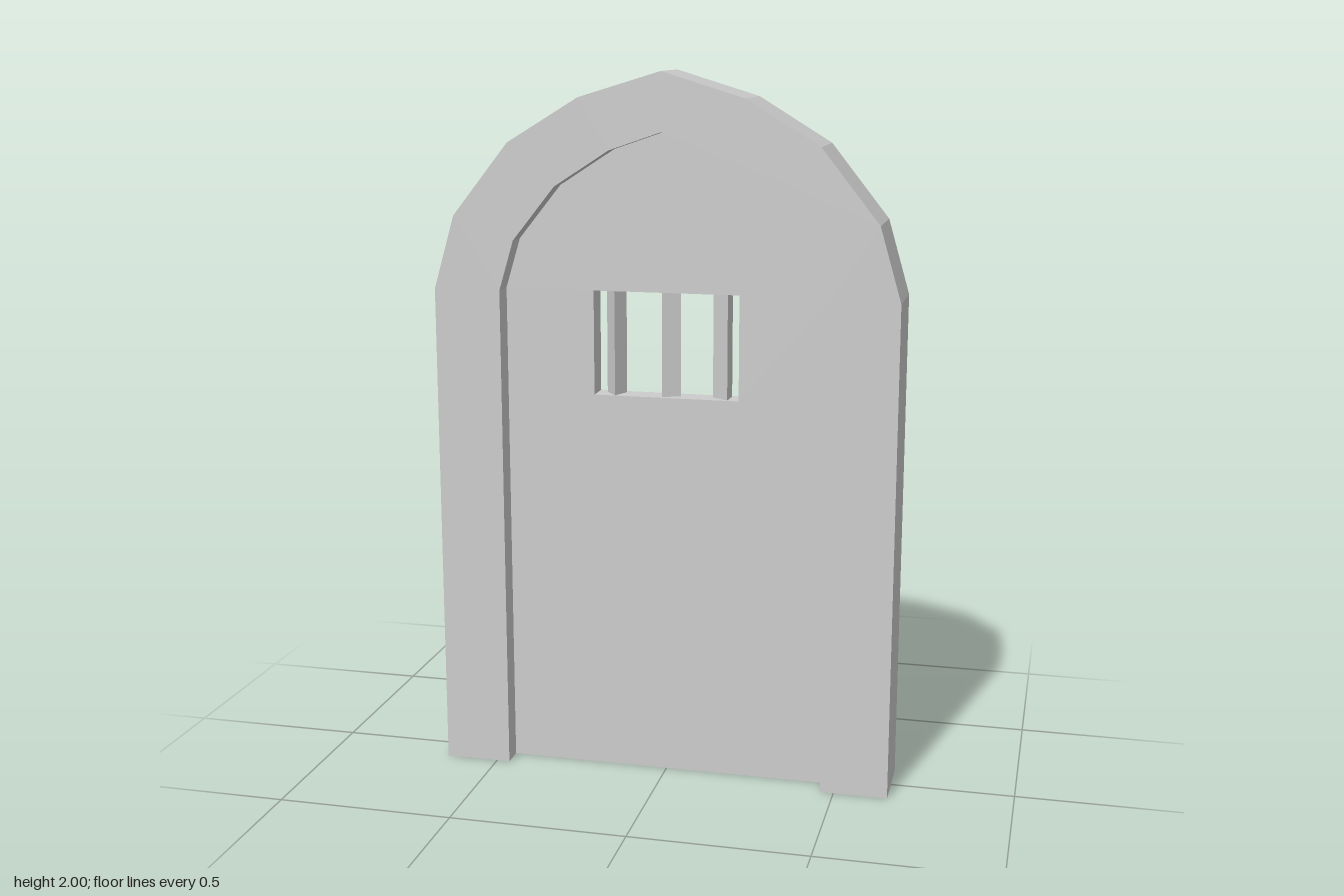
import * as THREE from 'three';

const stone = new THREE.MeshStandardMaterial({ color: 0xcccccc, side: THREE.DoubleSide });
stone.name = 'plain grey';

const FRAME_DEPTH = 0.195;
const DOOR_DEPTH = 0.07;
const WINDOW = { left: -0.208, right: 0.205, bottom: 1.105, top: 1.4 };

// Right half of each arch, from the floor to the peak
const OUTER = [[0.652, 0], [0.652, 1.4], [0.592, 1.605], [0.432, 1.807], [0.23, 1.93], [0, 2]];
const INNER = [[0.462, 0], [0.462, 1.4], [0.42, 1.54], [0.3, 1.69], [0.145, 1.79], [0, 1.84]];

// Mirrors a half arch into a full run from right foot to left foot
function arch(half) {
  const mirrored = half.slice(0, -1).reverse().map(([x, y]) => [-x, y]);
  return [...half, ...mirrored].map(([x, y]) => new THREE.Vector2(x, y));
}

function addMesh(parent, name, geometry) {
  const mesh = new THREE.Mesh(geometry, stone);
  mesh.name = name;
  parent.add(mesh);
  return mesh;
}

export function createModel() {
  const model = new THREE.Group();
  model.name = 'archedDoor';

  // Arched surround, open at the floor between the two feet
  const surround = new THREE.Shape([...arch(OUTER), ...arch(INNER).reverse()]);
  const frame = new THREE.ExtrudeGeometry(surround, { depth: FRAME_DEPTH, bevelEnabled: false });
  addMesh(model, 'frame', frame.translate(0, 0, -FRAME_DEPTH / 2));

  // Hollow door: a front and a back skin, both pierced by the window
  const door = new THREE.Group();
  door.name = 'door';
  model.add(door);
  const { left, right, bottom, top } = WINDOW;
  const skin = new THREE.Shape(arch(INNER));
  skin.holes.push(new THREE.Path([
    new THREE.Vector2(left, bottom), new THREE.Vector2(left, top),
    new THREE.Vector2(right, top), new THREE.Vector2(right, bottom),
  ]));
  const skinGeometry = new THREE.ShapeGeometry(skin);
  addMesh(door, 'doorFront', skinGeometry).position.z = DOOR_DEPTH / 2;
  const back = addMesh(door, 'doorBack', skinGeometry.clone().scale(-1, 1, 1).rotateY(Math.PI));
  back.position.z = -DOOR_DEPTH / 2;

  // Window lining: sill and head, then the two sides
  const midX = (left + right) / 2;
  const midY = (bottom + top) / 2;
  for (const [name, y, turn] of [['windowSill', bottom, -1], ['windowHead', top, 1]]) {
    const lining = addMesh(door, name, new THREE.PlaneGeometry(right - left, DOOR_DEPTH));
    lining.rotation.x = turn * Math.PI / 2;
    lining.position.set(midX, y, 0);
  }
  for (const [name, x, turn] of [['windowSideRight', left, 1], ['windowSideLeft', right, -1]]) {
    const lining = addMesh(door, name, new THREE.PlaneGeometry(DOOR_DEPTH, top - bottom));
    lining.rotation.y = turn * Math.PI / 2;
    lining.position.set(x, midY, 0);
  }

  // Three-sided window bars, each turned differently
  const barGeometry = new THREE.CylinderGeometry(0.032, 0.032, top - bottom, 3, 1, true).toNonIndexed();
  barGeometry.computeVertexNormals();
  for (const [name, x, degrees] of [['barRight', -0.153, 7], ['barMiddle', 0.002, 208], ['barLeft', 0.157, 147]]) {
    const bar = addMesh(door, name, barGeometry);
    bar.position.set(x, midY, 0);
    bar.rotation.y = THREE.MathUtils.degToRad(degrees);
  }

  return model;
}
